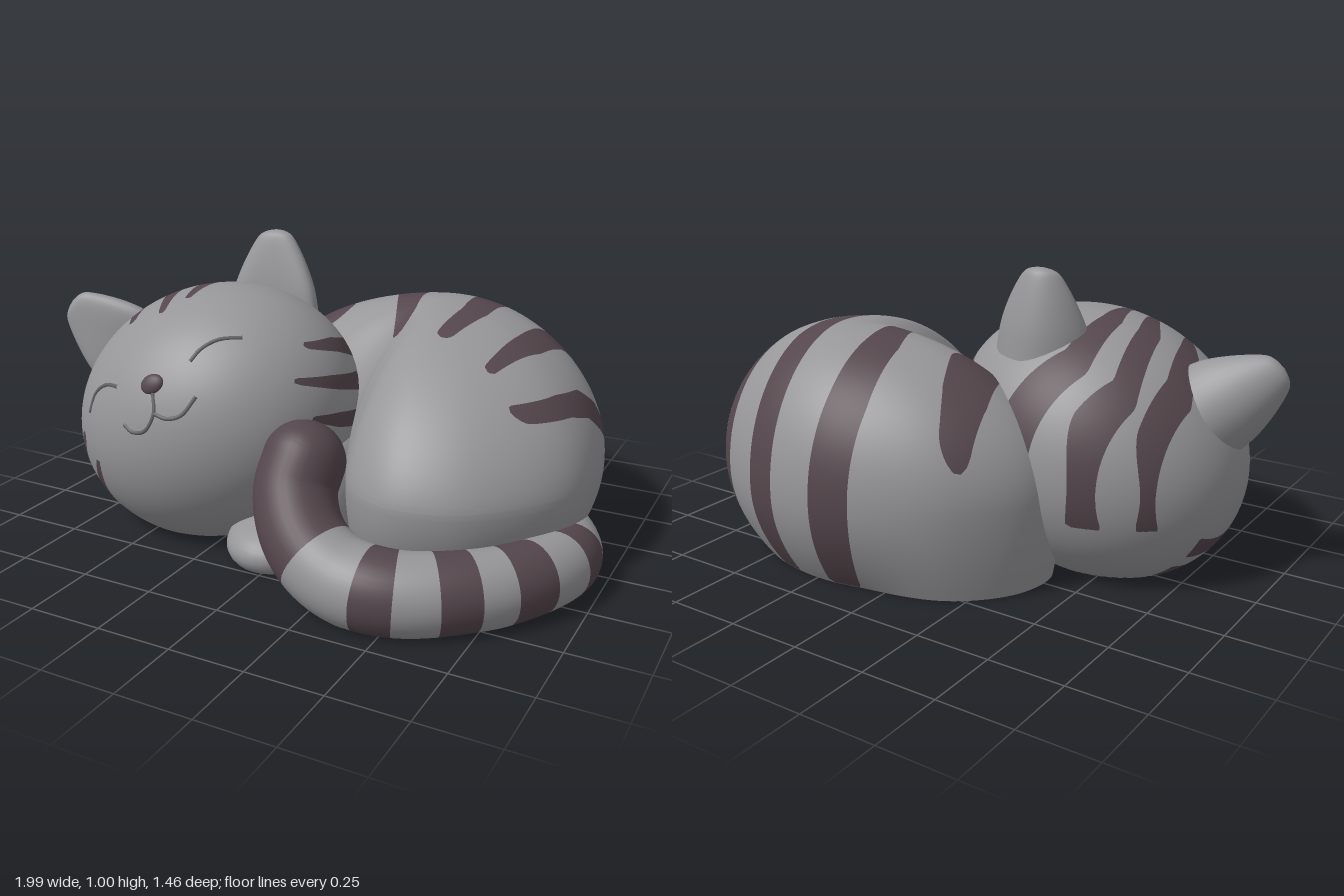
import * as THREE from 'three';
import { toCreasedNormals } from 'three/addons/utils/BufferGeometryUtils.js';

const V = (x, y, z) => new THREE.Vector3(x, y, z);
const mat = (name, color) => Object.assign(new THREE.MeshStandardMaterial({ color }), { name });

// Head: a rolled ellipsoid resting on the ground
const HEAD = { c: V(-0.373, 0.385, 0.12), r: V(0.517, 0.44, 0.45), roll: 0.42 };

// Front surface depth of the head at (x, y)
function headZ(x, y) {
  const dx = x - HEAD.c.x, dy = y - HEAD.c.y;
  const c = Math.cos(HEAD.roll), s = Math.sin(HEAD.roll);
  const lx = (dx * c + dy * s) / HEAD.r.x, ly = (dy * c - dx * s) / HEAD.r.y;
  return HEAD.c.z + HEAD.r.z * Math.sqrt(Math.max(0, 1 - lx * lx - ly * ly));
}

// Surface from a function of (u around, v along), wrapped in u
function surface(fn, nu, nv) {
  const pos = [], uv = [], index = [];
  for (let i = 0; i <= nv; i++) {
    for (let j = 0; j < nu; j++) {
      const p = fn(j / nu, i / nv);
      pos.push(p.x, p.y, p.z);
      uv.push(j / nu, i / nv);
      if (i === nv) continue;
      const k = (j + 1) % nu, a = i * nu + j, b = i * nu + k;
      index.push(a, b, a + nu, b, b + nu, a + nu);
    }
  }
  const g = new THREE.BufferGeometry();
  g.setAttribute('position', new THREE.Float32BufferAttribute(pos, 3));
  g.setAttribute('uv', new THREE.Float32BufferAttribute(uv, 2));
  g.setIndex(index);
  return g;
}

// Flatten whatever is below the ground
function groundClamp(g) {
  const p = g.attributes.position;
  for (let i = 0; i < p.count; i++) p.setY(i, Math.max(0, p.getY(i)));
  return toCreasedNormals(g, 0.6);
}

// Cut the faces along field = 0: the positive side takes the second material
function paint(g, field) {
  const { position, normal, uv } = g.attributes;
  const pos = [], nor = [], out = new THREE.BufferGeometry();
  const corners = [];
  for (let i = 0; i < position.count; i++) {
    const p = V(0, 0, 0).fromBufferAttribute(position, i);
    corners.push({ p, n: V(0, 0, 0).fromBufferAttribute(normal, i), f: field(p, uv.getY(i)) });
  }
  [-1, 1].forEach((side, group) => {
    const start = pos.length / 3;
    for (let i = 0; i < corners.length; i += 3) {
      const poly = [];
      for (let k = 0; k < 3; k++) {
        const a = corners[i + k], b = corners[i + (k + 1) % 3];
        if (a.f * side >= 0) poly.push(a);
        if (a.f * b.f < 0) {
          const t = a.f / (a.f - b.f);
          poly.push({ p: a.p.clone().lerp(b.p, t), n: a.n.clone().lerp(b.n, t).normalize() });
        }
      }
      for (let k = 2; k < poly.length; k++) {
        for (const c of [poly[0], poly[k - 1], poly[k]]) {
          pos.push(...c.p.toArray());
          nor.push(...c.n.toArray());
        }
      }
    }
    out.addGroup(start, pos.length / 3 - start, group);
  });
  out.setAttribute('position', new THREE.Float32BufferAttribute(pos, 3));
  out.setAttribute('normal', new THREE.Float32BufferAttribute(nor, 3));
  return out;
}

// How far (x, y) lies inside the nearest tapered stripe of [x, y, halfWidth] points
function stripes(x, y, ...list) {
  let best = -1;
  for (const pts of list) {
    for (let i = 1; i < pts.length; i++) {
      const [ax, ay, aw] = pts[i - 1], [bx, by, bw] = pts[i];
      const dx = bx - ax, dy = by - ay;
      const t = THREE.MathUtils.clamp(((x - ax) * dx + (y - ay) * dy) / (dx * dx + dy * dy), 0, 1);
      best = Math.max(best, aw + (bw - aw) * t - Math.hypot(x - ax - dx * t, y - ay - dy * t));
    }
  }
  return best;
}

export function createModel() {
  const cat = new THREE.Group();
  cat.name = 'sleepingCat';
  const fur = mat('greyFur', 0x969598);
  const dark = mat('darkStripe', 0x54464c);
  const line = mat('faceLine', 0x626164);
  const add = (name, geo, material) => {
    const m = new THREE.Mesh(geo, material);
    m.name = name;
    cat.add(m);
    return m;
  };

  // Curled body: a dome over a plan outline, tucked in towards the ground
  const outline = new THREE.CatmullRomCurve3([
    [0.92, -0.1], [0.9, 0.1], [0.8, 0.27], [0.62, 0.42], [0.42, 0.46], [0.26, 0.38],
    [0.17, 0.22], [0.08, 0.05], [-0.15, -0.03], [-0.4, -0.17], [-0.4, -0.34],
    [-0.25, -0.55], [-0.05, -0.67], [0.2, -0.73], [0.48, -0.69], [0.72, -0.55], [0.87, -0.33],
  ].map(([x, z]) => V(x, 0, z)), true);
  const apex = V(0.32, 0, -0.3), middle = V(0.27, 0, -0.13);
  const tuck = (x, d) => 1 - (0.05 + 0.13 * THREE.MathUtils.smoothstep(x, -0.4, 0.1)) * d * d;
  const bodyPoint = (u, v) => {
    const o = outline.getPoint(u);
    if (v < 0.65) {
      const a = (v / 0.65) * Math.PI / 2;
      const k = 1 + 0.47 * Math.max(0, o.z + 0.3);
      const q = apex.clone().lerp(o, Math.sin(a));
      return q.setY(0.3 + 0.48 * Math.pow(Math.max(0, Math.cos(a)), k));
    }
    const d = Math.min(1, (v - 0.65) / 0.25);
    const shrink = tuck(o.x, d) * (v > 0.9 ? (1 - v) / 0.1 : 1);
    return middle.clone().lerp(o, shrink).setY(0.3 * (1 - d));
  };
  const backStripes = [ // in (x, z)
    [[0.21, -0.08, 0.015], [0.19, -0.2, 0.035], [0.14, -0.4, 0.06], [0.115, -0.6, 0.068], [0.11, -0.8, 0.068]],
    [[0.41, -0.02, 0.03], [0.44, -0.2, 0.045], [0.43, -0.4, 0.055], [0.39, -0.8, 0.055]],
    [[0.595, 0.06, 0.02], [0.65, -0.15, 0.042], [0.68, -0.4, 0.048], [0.67, -0.7, 0.048]],
  ];
  const shoulderStripe = [[-0.12, -0.25, 0.08], [-0.17, -0.38, 0.07], [-0.21, -0.49, 0.05]];
  const hipStripe = [ // in (z, y)
    [0.13, 0.55, 0.025], [-0.02, 0.545, 0.032], [-0.14, 0.52, 0.042], [-0.22, 0.46, 0.045], [-0.295, 0.375, 0.025],
  ];
  add('body', paint(groundClamp(surface(bodyPoint, 200, 80)), (c) => {
    // Undo the tuck so that stripes run straight down to the ground
    const s = tuck(c.x, Math.max(0, 1 - c.y / 0.3));
    const x = middle.x + (c.x - middle.x) / s, z = middle.z + (c.z - middle.z) / s;
    return Math.max(
      Math.min(c.y - 0.002, stripes(x, z, ...backStripes)),
      Math.min(c.y - 0.4, stripes(x, z, shoulderStripe)),
      Math.min(c.x - 0.5, stripes(c.z, c.y, hipStripe)));
  }), [fur, dark]);

  // Chest and front paw, peeking out under the chin
  const lump = (name, p, r) => {
    const g = new THREE.SphereGeometry(1, 32, 20).scale(...r).translate(...p);
    add(name, groundClamp(g), fur);
  };
  lump('chest', [0.05, 0.17, 0.1], [0.15, 0.22, 0.24]);
  lump('frontPaw', [-0.02, 0.05, 0.3], [0.18, 0.1, 0.22]);

  // Head with forehead and cheek stripes
  const headGeo = new THREE.SphereGeometry(1, 150, 90)
    .scale(HEAD.r.x, HEAD.r.y, HEAD.r.z).rotateZ(HEAD.roll)
    .translate(HEAD.c.x, HEAD.c.y, HEAD.c.z);
  const foreheadStripes = [ // in (x, z)
    [[-0.7, -0.19, 0.035], [-0.72, -0.03, 0.04], [-0.665, 0.16, 0.03], [-0.6, 0.3, 0.012]],
    [[-0.53, -0.28, 0.05], [-0.6, -0.16, 0.04], [-0.56, 0.08, 0.035], [-0.47, 0.31, 0.012]],
    [[-0.29, -0.32, 0.06], [-0.43, -0.16, 0.05], [-0.44, 0.05, 0.035], [-0.41, 0.24, 0.012]],
  ];
  const rightCheek = [ // in (x, y)
    [[-0.8, 0.13, 0.04], [-0.715, 0.34, 0.015]],
    [[-0.7, 0.02, 0.045], [-0.62, 0.28, 0.012]],
  ];
  const leftCheek = [ // in (z, y)
    [[0.31, 0.605, 0.01], [0.18, 0.575, 0.022], [0, 0.53, 0.03]],
    [[0.21, 0.695, 0.01], [0.08, 0.67, 0.022], [-0.1, 0.61, 0.03]],
    [[0.29, 0.48, 0.01], [0.18, 0.45, 0.025], [0.02, 0.41, 0.03]],
  ];
  add('head', paint(groundClamp(headGeo), (c) => Math.max(
    Math.min(c.y - 0.24, stripes(c.x, c.z, ...foreheadStripes)),
    Math.min(c.z + 0.03, c.y - 0.002, stripes(c.x, c.y, ...rightCheek)),
    Math.min(c.x + 0.15, stripes(c.z, c.y, ...leftCheek)),
  )), [fur, dark]);

  // Ears: flattened rounded cones, cupped towards the front
  const earProfile = new THREE.SplineCurve([
    [0.165, 0], [0.15, 0.09], [0.115, 0.18], [0.07, 0.26], [0.04, 0.284], [0, 0.292],
  ].map(([x, y]) => new THREE.Vector2(x, y))).getPoints(24);
  const ear = (name, x, y, z, yaw, roll) => {
    const g = new THREE.LatheGeometry(earProfile, 36).scale(1, 1, 0.48);
    const p = g.attributes.position;
    for (let i = 0; i < p.count; i++) p.setZ(i, p.getZ(i) + 2 * p.getX(i) ** 2);
    g.computeVertexNormals();
    const m = add(name, g, fur);
    m.position.set(x, y, z);
    m.rotation.set(0, yaw, roll);
  };
  ear('leftEar', -0.26, 0.704, -0.11, 0.12, 0.04);
  ear('rightEar', -0.762, 0.54, 0.07, 0.38, 0.93);

  // Closed eyes, mouth and nose laid on the face
  const faceLine = (name, pts) => {
    const curve = new THREE.CatmullRomCurve3(pts.map(([x, y]) => V(x, y, headZ(x, y) - 0.002)));
    add(name, new THREE.TubeGeometry(curve, 24, 0.007, 8), line);
  };
  faceLine('leftEye', [[-0.26, 0.67], [-0.24, 0.705], [-0.2, 0.73], [-0.135, 0.735]]);
  faceLine('rightEye', [[-0.66, 0.44], [-0.635, 0.51], [-0.58, 0.55], [-0.515, 0.56]]);
  faceLine('mouthRight', [[-0.46, 0.455], [-0.425, 0.438], [-0.375, 0.45], [-0.345, 0.51], [-0.36, 0.57]]);
  faceLine('mouthLeft', [[-0.345, 0.51], [-0.3, 0.5], [-0.25, 0.515], [-0.21, 0.575]]);
  const nose = add('nose', new THREE.SphereGeometry(1, 20, 12).scale(0.042, 0.032, 0.016), dark);
  nose.position.set(-0.37, 0.595, headZ(-0.37, 0.595));
  nose.rotation.set(-0.4, 0, HEAD.roll);

  // Tail: wraps round the front and rests its tip against the chin
  const path = new THREE.CatmullRomCurve3([
    [0.7, 0.07, -0.25], [0.81, 0.08, -0.1], [0.885, 0.09, 0.1], [0.84, 0.1, 0.28], [0.7, 0.1, 0.46],
    [0.5, 0.1, 0.58], [0.33, 0.12, 0.59], [0.2, 0.19, 0.55], [0.12, 0.3, 0.47], [0.12, 0.39, 0.41], [0.12, 0.49, 0.335],
  ].map((p) => V(...p)));
  const rings = 160, sides = 36;
  const frames = path.computeFrenetFrames(rings);
  // Rings crowd together near the tip so that the cap is round
  const along = (v) => (v < 0.85 ? v * 0.928 / 0.85 : 0.928 + 0.072 * Math.sin((v - 0.85) / 0.15 * Math.PI / 2));
  const tailGeo = surface((u, v) => {
    const t = along(v), i = Math.round(t * rings), a = u * Math.PI * 2;
    const cap = Math.max(0, (t - 0.928) / 0.072);
    const r = (0.095 + 0.037 * Math.min(1, t * 1.6)) * Math.sqrt(Math.max(0, 1 - cap * cap));
    return path.getPointAt(t)
      .addScaledVector(frames.normals[i], r * Math.cos(a))
      .addScaledVector(frames.binormals[i], r * Math.sin(a));
  }, sides, rings);
  const bands = [[0.238, 0.03], [0.373, 0.034], [0.493, 0.03], [0.613, 0.026]];
  add('tail', paint(groundClamp(tailGeo), (c, v) => {
    const t = along(v);
    return Math.max(t - 0.743, ...bands.map(([m, w]) => w - Math.abs(t - m)));
  }), [fur, dark]);

  return cat;
}
